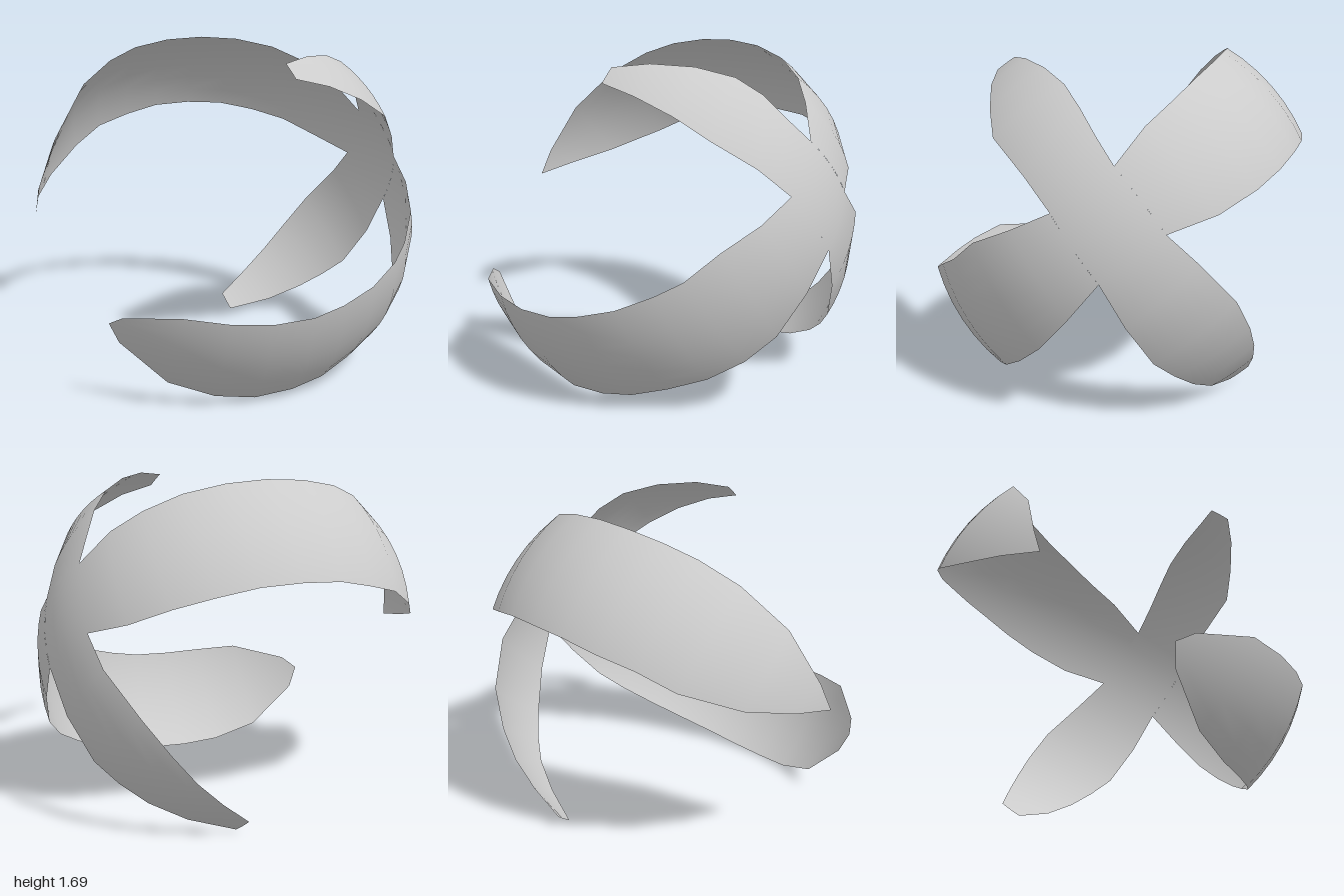
import * as THREE from 'three';

const V = (p) => new THREE.Vector3(...p);
const CENTRE = new THREE.Vector3(-0.02, 0.8, -0.04);
const ACROSS = 6;

// Hub corners, where neighbouring bands meet
const A = [0.93, 1.08, 0.07], B = [0.825, 1.29, -0.2];
const C = [0.86, 1.0, -0.45], D = [0.98, 0.78, -0.17];

// Point between two edge points, bulged out to follow the sphere
function onSphere(a, b, t) {
  const p = V(a).sub(CENTRE), q = V(b).sub(CENTRE);
  const r = THREE.MathUtils.lerp(p.length(), q.length(), t);
  return p.lerp(q, t).setLength(r);
}

// Curved strip between a left and a right edge, with sphere normals
function band(name, left, right, material) {
  const pos = [], nor = [], idx = [];
  left.forEach((l, i) => {
    for (let j = 0; j <= ACROSS; j++) {
      const p = onSphere(l, right[i], j / ACROSS);
      nor.push(...p.clone().normalize().toArray());
      pos.push(...p.add(CENTRE).toArray());
      if (i < left.length - 1 && j < ACROSS) {
        const a = i * (ACROSS + 1) + j, b = a + ACROSS + 1;
        idx.push(a, a + 1, b + 1, a, b + 1, b);
      }
    }
  });
  const g = new THREE.BufferGeometry();
  g.setAttribute('position', new THREE.Float32BufferAttribute(pos, 3));
  g.setAttribute('normal', new THREE.Float32BufferAttribute(nor, 3));
  g.setIndex(idx);
  const mesh = new THREE.Mesh(g, material);
  mesh.name = name;
  return mesh;
}

export function createModel() {
  const group = new THREE.Group();
  group.name = 'sphericalCross';
  const mat = new THREE.MeshStandardMaterial({ color: 0xcccccc, side: THREE.DoubleSide });
  const add = (name, left, right) => group.add(band(name, left, right, mat));

  // Hub patch on the +x side
  const hubEdge = (p, q) => [0, 0.25, 0.5, 0.75, 1].map(
    (t) => onSphere(p, q, t).add(CENTRE).toArray());
  add('hub', hubEdge(D, A), hubEdge(C, B));

  // Long band sweeping round the front
  add('frontBand',
    [D, [0.97, 0.59, -0.02], [0.925, 0.405, 0.14], [0.84, 0.29, 0.27], [0.71, 0.195, 0.39],
      [0.54, 0.12, 0.49], [0.37, 0.06, 0.57], [0.2, 0.025, 0.61], [0, 0.01, 0.63],
      [-0.2, 0.03, 0.61], [-0.43, 0.11, 0.57], [-0.66, 0.33, 0.54], [-0.71, 0.44, 0.56]],
    [A, [0.92, 0.98, 0.27], [0.86, 0.88, 0.48], [0.77, 0.755, 0.62], [0.68, 0.69, 0.72],
      [0.53, 0.61, 0.82], [0.36, 0.555, 0.89], [0.2, 0.52, 0.93], [0, 0.51, 0.945],
      [-0.2, 0.52, 0.92], [-0.41, 0.54, 0.845], [-0.655, 0.49, 0.64], [-0.71, 0.44, 0.56]]);

  // Longest band, over the back to a point on the -x side
  add('backBand',
    [B, [0.7, 1.45, -0.31], [0.57, 1.55, -0.41], [0.4, 1.63, -0.485], [0.2, 1.675, -0.53],
      [0, 1.69, -0.54], [-0.2, 1.68, -0.53], [-0.39, 1.645, -0.485], [-0.54, 1.585, -0.41],
      [-0.7, 1.475, -0.3], [-0.85, 1.26, -0.13], [-0.97, 1.0, -0.03], [-1, 0.86, 0.02]],
    [C, [0.73, 1.07, -0.66], [0.57, 1.155, -0.81], [0.39, 1.21, -0.89], [0.2, 1.25, -0.935],
      [0, 1.26, -0.95], [-0.2, 1.25, -0.935], [-0.38, 1.21, -0.89], [-0.56, 1.16, -0.81],
      [-0.71, 1.07, -0.7], [-0.88, 0.96, -0.45], [-0.97, 0.9, -0.2], [-1, 0.86, 0.02]]);

  // Short band reaching up and forward
  add('topBand',
    [A, [0.89, 1.15, 0.145], [0.85, 1.22, 0.22], [0.73, 1.36, 0.41], [0.57, 1.46, 0.485],
      [0.38, 1.54, 0.55], [0.2, 1.585, 0.585]],
    [B, [0.76, 1.4, -0.1], [0.69, 1.52, 0], [0.6, 1.605, 0.1], [0.47, 1.655, 0.24],
      [0.32, 1.67, 0.39], [0.175, 1.65, 0.5]]);

  // Short band reaching down and back
  add('bottomBand',
    [C, [0.83, 0.86, -0.6], [0.7, 0.65, -0.75], [0.57, 0.47, -0.8], [0.455, 0.33, -0.81],
      [0.32, 0.2, -0.79], [0.17, 0.075, -0.75]],
    [D, [0.93, 0.56, -0.28], [0.83, 0.35, -0.39], [0.73, 0.25, -0.47], [0.61, 0.16, -0.54],
      [0.43, 0.07, -0.6], [0.2, 0.005, -0.66]]);

  return group;
}
